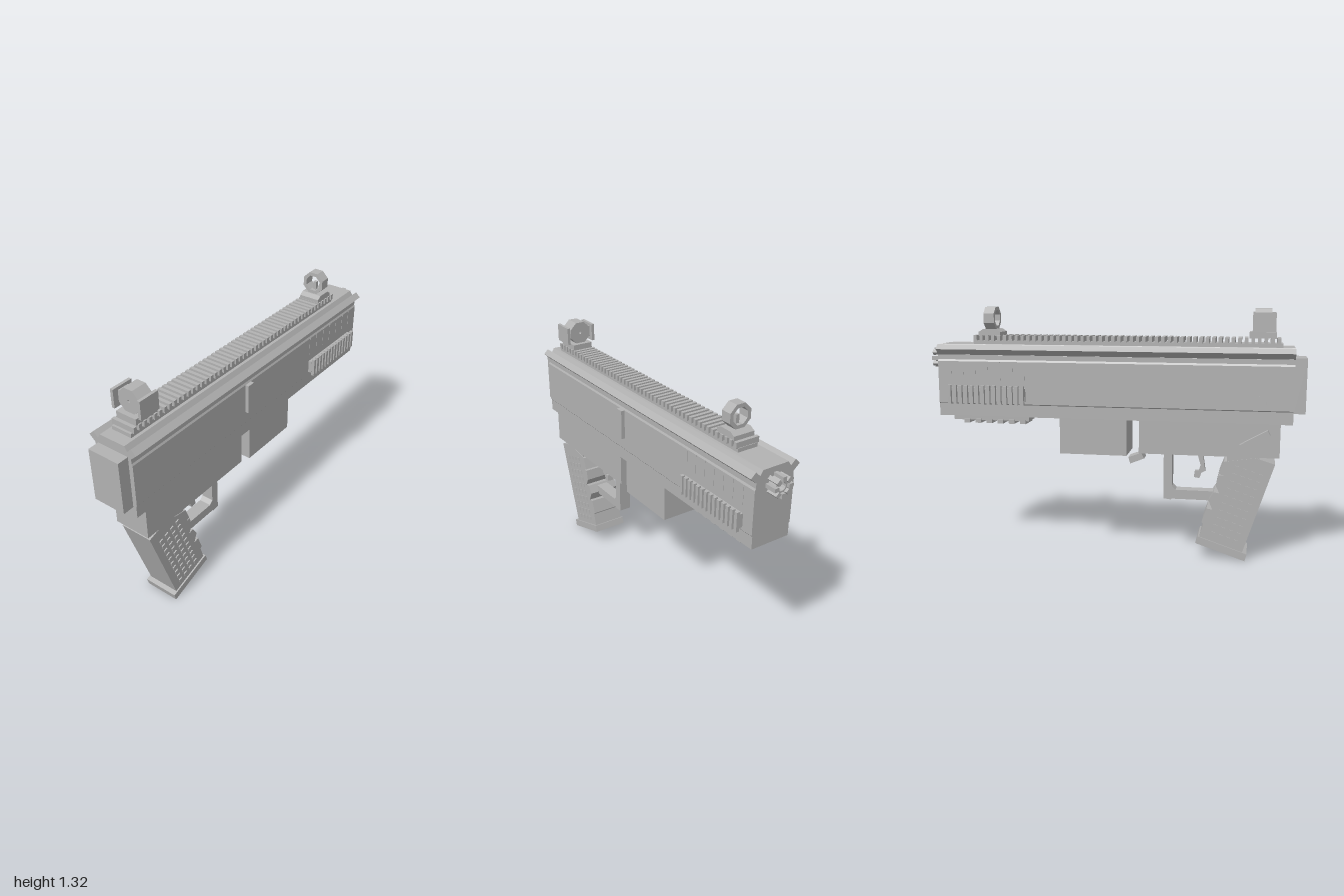
import * as THREE from 'three';

export function createModel() {
  const root = new THREE.Group();
  const grey = new THREE.MeshStandardMaterial({ color: 0xb2b2b2 });
  grey.name = 'grey';

  const add = (name, geo, parent = root) => {
    const m = new THREE.Mesh(geo, grey);
    m.name = name;
    parent.add(m);
    return m;
  };
  const group = (name) => {
    const g = new THREE.Group();
    g.name = name;
    root.add(g);
    return g;
  };
  // Box from its limits on each axis
  const box = (name, x0, x1, y0, y1, z0, z1, parent) => {
    const g = new THREE.BoxGeometry(x1 - x0, y1 - y0, z1 - z0);
    g.translate((x0 + x1) / 2, (y0 + y1) / 2, (z0 + z1) / 2);
    return add(name, g, parent);
  };
  const shapeOf = (pts) => new THREE.Shape(pts.map(([a, b]) => new THREE.Vector2(a, b)));
  // Side profile given as [z, y], extruded across x
  const side = (name, pts, half, parent) => {
    const g = new THREE.ExtrudeGeometry(shapeOf(pts.map(([z, y]) => [-z, y])), { depth: 2 * half, bevelEnabled: false });
    g.translate(0, 0, -half).rotateY(Math.PI / 2);
    return add(name, g, parent);
  };
  // End profile given as [x, y], extruded along z
  const along = (name, shape, z0, z1, parent) => {
    const g = new THREE.ExtrudeGeometry(shape, { depth: z1 - z0, bevelEnabled: false });
    g.translate(0, 0, z0);
    return add(name, g, parent);
  };
  const ngon = (n, r, cx, cy, turn = Math.PI / n) => Array.from({ length: n }, (_, i) => {
    const a = turn + (i / n) * Math.PI * 2;
    return [cx + r * Math.cos(a), cy + r * Math.sin(a)];
  });

  // Main housing with a slight step low on the sides and a chamfered top
  const half = [[0.107, 0.735], [0.107, 0.8], [0.111, 0.805], [0.111, 1.03], [0.106, 1.04], [0.106, 1.065], [0.072, 1.12]];
  along('housing', shapeOf([...half, ...half.slice().reverse().map(([x, y]) => [-x, y])]), -0.94, 0.94);
  box('endPlate', -0.088, 0.088, 0.79, 1.07, 0.94, 1.0);

  // Slanted strips along both upper edges
  for (const s of [-1, 1]) {
    const pts = [[0.075, 1.085], [0.1, 1.06], [0.138, 1.095], [0.112, 1.12]].map(([x, y]) => [s * x, y]);
    along('edgeStrip', shapeOf(pts), -0.94, 0.94);
  }

  // Lower housing, front well and small catch
  box('lowerHousing', -0.1, 0.1, 0.56, 0.735, 0.155, 0.88);
  box('frontWell', -0.105, 0.105, 0.545, 0.735, -0.27, 0.09);
  side('catch', [[0.16, 0.55], [0.175, 0.52], [0.1, 0.49], [0.09, 0.525]], 0.04);

  // Grip with stepped front edge
  side('grip', [[0.86, 0.525], [0.706, 0.045], [0.48, 0.12], [0.5, 0.19], [0.49, 0.2], [0.515, 0.275],
    [0.545, 0.27], [0.525, 0.32], [0.55, 0.365], [0.58, 0.36], [0.56, 0.4], [0.572, 0.457],
    [0.6, 0.455], [0.575, 0.465], [0.6, 0.53], [0.76, 0.555]], 0.088);
  box('gripNeck', -0.085, 0.085, 0.52, 0.56, 0.615, 0.78);
  side('gripBase', [[0.73, 0.038], [0.72, 0], [0.46, 0.085], [0.472, 0.122]], 0.096);
  const studs = group('gripStuds');
  studs.position.set(0, 0.3, 0.67);
  studs.rotation.x = 0.313;
  for (let r = 0; r < 10; r++) for (let c = 0; c < 4; c++) for (const s of [-1, 1]) {
    const m = add('stud', new THREE.BoxGeometry(0.01, 0.022, 0.022), studs);
    m.position.set(s * 0.089, -0.19 + r * 0.042, -0.066 + c * 0.042);
  }

  // Trigger and guard
  side('trigger', [[0.485, 0.56], [0.5, 0.46], [0.48, 0.45], [0.47, 0.42], [0.44, 0.425],
    [0.445, 0.46], [0.465, 0.46], [0.475, 0.49], [0.455, 0.56]], 0.016);
  side('triggerGuard', [[0.56, 0.355], [0.535, 0.305], [0.325, 0.305], [0.32, 0.3], [0.28, 0.305],
    [0.28, 0.56], [0.325, 0.56], [0.325, 0.375], [0.345, 0.355]], 0.034);

  // Side controls
  box('sideHandle', 0.1, 0.131, 0.87, 1.03, 0.09, 0.135);
  const lever = add('selectorLever', new THREE.BoxGeometry(0.03, 0.035, 0.16));
  lever.position.set(-0.113, 0.653, 0.755);
  lever.rotation.x = -0.52;
  for (const [y, z] of [[0.86, 0.72], [0.86, 0.76], [0.86, 0.8]]) box('sideMark', -0.114, -0.1, y - 0.025, y + 0.02, z, z + 0.008);

  // Side ribs and slots near the front end
  for (const s of [-1, 1]) {
    const rail = group('sideRail');
    rail.scale.x = 1;
    const sx = (a, b) => (s > 0 ? [a, b] : [-b, -a]);
    box('railBase', ...sx(0.1, 0.131), 0.82, 0.89, -0.875, -0.455, rail);
    for (let i = 0; i < 14; i++) {
      const z = -0.878 + i * 0.0311;
      box('rib', ...sx(0.13, 0.148), 0.805, 0.905, z, z + 0.018, rail);
    }
    for (let i = 0; i < 7; i++) {
      const z = -0.87 + i * 0.068;
      box('slotLine', ...sx(0.109, 0.1125), 0.93, 1.03, z, z + 0.006, rail);
    }
  }

  // Lower rail
  const low = group('lowerRail');
  box('lowerRailBase', -0.055, 0.055, 0.705, 0.74, -0.88, -0.455, low);
  for (let i = 0; i < 6; i++) {
    const z = -0.82 + i * 0.0635;
    box('lowerTooth', -0.065, 0.065, 0.69, 0.712, z, z + 0.032, low);
  }

  // Toothed top rail
  const top = group('topRail');
  box('topRailBase', -0.056, 0.056, 1.115, 1.14, -0.755, 0.88, top);
  for (let i = 0; i < 50; i++) {
    const z = -0.752 + i * 0.0327;
    box('topTooth', -0.065, 0.065, 1.138, 1.168, z, z + 0.018, top);
  }

  // Rear sight: octagonal drum between two plates
  const rear = group('rearSight');
  box('rearSightFoot', -0.058, 0.058, 1.165, 1.197, 0.71, 0.845, rear);
  const drum = shapeOf(ngon(8, 0.065, 0, 1.255));
  drum.holes.push(new THREE.Path(ngon(8, 0.007, 0, 1.255).map(([x, y]) => new THREE.Vector2(x, y))));
  along('drum', drum, 0.735, 0.82, rear);
  for (const s of [-1, 1]) {
    box('sightPlate', s * 0.078 - 0.008, s * 0.078 + 0.008, 1.2, 1.295, 0.725, 0.84, rear);
    box('sightPin', s * 0.063 - 0.01, s * 0.063 + 0.01, 1.22, 1.28, 0.75, 0.81, rear);
  }

  // Front sight: octagonal ring with a post
  const front = group('frontSight');
  side('frontSightFoot', [[-0.605, 1.165], [-0.605, 1.185], [-0.63, 1.2], [-0.7, 1.2], [-0.725, 1.185], [-0.725, 1.165]], 0.058, front);
  const ring = shapeOf(ngon(8, 0.064, 0, 1.258));
  ring.holes.push(new THREE.Path(ngon(8, 0.044, 0, 1.258).map(([x, y]) => new THREE.Vector2(x, y))));
  along('sightRing', ring, -0.695, -0.637, front);
  box('sightPost', -0.009, 0.009, 1.2, 1.26, -0.676, -0.656, front);

  // Slotted front tube: hollow core surrounded by prongs
  const tube = group('frontTube');
  const core = shapeOf(ngon(12, 0.038, 0, 1.04));
  core.holes.push(new THREE.Path(ngon(12, 0.022, 0, 1.04).map(([x, y]) => new THREE.Vector2(x, y))));
  along('tubeCore', core, -0.985, -0.94, tube);
  for (let i = 0; i < 8; i++) {
    const a = (i / 8) * Math.PI * 2;
    const m = add('prong', new THREE.BoxGeometry(0.024, 0.02, 0.06), tube);
    m.position.set(0.041 * Math.cos(a), 1.04 + 0.041 * Math.sin(a), -0.97);
    m.rotation.z = a;
  }
  return root;
}
